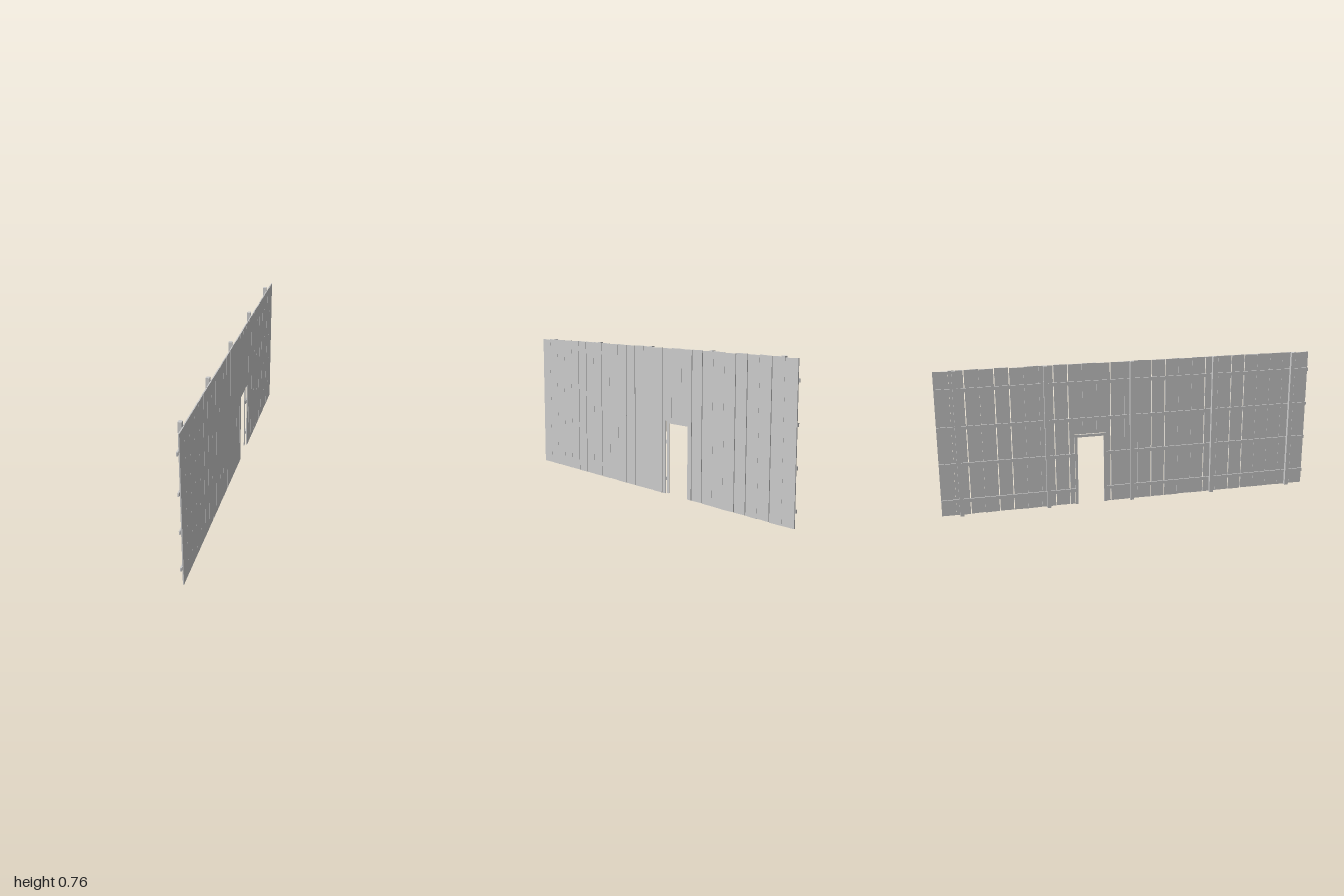
import * as THREE from 'three';

const WIDTH = 2, HEIGHT = 0.757, COUNT = 27;
const DOOR = { front: -0.137, back: -0.305, top: 0.385, frame: 0.014 };

export function createModel() {
  const model = new THREE.Group();
  model.name = 'plankWall';
  const material = new THREE.MeshStandardMaterial({ color: 0xcccccc, flatShading: true });

  // Small seeded jitter in the range -1..1
  let seed = 7;
  const jitter = () => {
    seed = (seed * 16807) % 2147483647;
    return (seed / 2147483647) * 2 - 1;
  };

  // Box given by its minimum and maximum on each axis
  function box(name, [x0, x1], [y0, y1], [z0, z1]) {
    const mesh = new THREE.Mesh(new THREE.BoxGeometry(x1 - x0, y1 - y0, z1 - z0), material);
    mesh.position.set((x0 + x1) / 2, (y0 + y1) / 2, (z0 + z1) / 2);
    mesh.name = name;
    model.add(mesh);
  }

  // Outline in (z, y), given thickness along x
  function board(name, points, x0, x1) {
    const shape = new THREE.Shape(points.map(([z, y]) => new THREE.Vector2(z, y)));
    const geometry = new THREE.ExtrudeGeometry(shape, { depth: x1 - x0, bevelEnabled: false });
    geometry.rotateY(-Math.PI / 2);
    const mesh = new THREE.Mesh(geometry, material);
    mesh.position.x = x1;
    mesh.name = name;
    model.add(mesh);
  }

  // Vertical planks with uneven ends; some joints are open, the rest are tight
  const openJoints = new Set([5, 6, 8, 11, 12, 15, 18, 19, 22, 23, 25]);
  const step = WIDTH / COUNT;
  const gap = (i) => (i === 0 || i === COUNT ? 0 : openJoints.has(i) ? 0.0022 : 0.0003);
  for (let i = 0; i < COUNT; i++) {
    const z1 = 1 - i * step - gap(i);
    const z0 = 1 - (i + 1) * step + gap(i + 1);
    const top = HEIGHT + 0.002 * jitter(), topTilt = 0.0015 * jitter();
    const foot = 0.002 + 0.001 * jitter(), footTilt = 0.001 * jitter();
    const upper = [[z1, top + topTilt], [z0, top - topTilt]];
    const low0 = [z0, foot - footTilt], low1 = [z1, foot + footTilt];
    let lower;
    if (z0 >= DOOR.front || z1 <= DOOR.back) {
      lower = [low0, low1];
    } else if (z1 > DOOR.front) {
      // plank notched on its back edge by the doorway
      lower = [[z0, DOOR.top], [DOOR.front, DOOR.top], [DOOR.front, foot], low1];
    } else if (z0 < DOOR.back) {
      // plank notched on its front edge by the doorway
      lower = [low0, [DOOR.back, foot], [DOOR.back, DOOR.top], [z1, DOOR.top]];
    } else {
      lower = [[z0, DOOR.top], [z1, DOOR.top]];
    }
    board('plank', [...upper, ...lower], 0.0105, 0.016);
  }

  // Horizontal rails behind the planks, interrupted by the doorway
  for (const y of [0.08, 0.274, 0.466, 0.66]) {
    const spans = y < DOOR.top ? [[-1, DOOR.back], [DOOR.front, 1]] : [[-1, 1]];
    for (const span of spans) box('rail', [0, 0.0068], [y - 0.009, y + 0.009], span);
  }

  // Upright posts on the inner side
  for (const z of [-0.9, -0.45, 0, 0.45, 0.9]) {
    box('post', [-0.018, 0], [0.003, 0.76], [z - 0.01, z + 0.01]);
  }

  // Door frame: one arch-like board around the opening
  const { front, back, top, frame } = DOOR;
  board('doorFrame', [
    [front, 0.003], [front, top], [back, top], [back, 0.003],
    [back + frame, 0.003], [back + frame, top - frame],
    [front - frame, top - frame], [front - frame, 0.003],
  ], 0, 0.004);

  return model;
}
